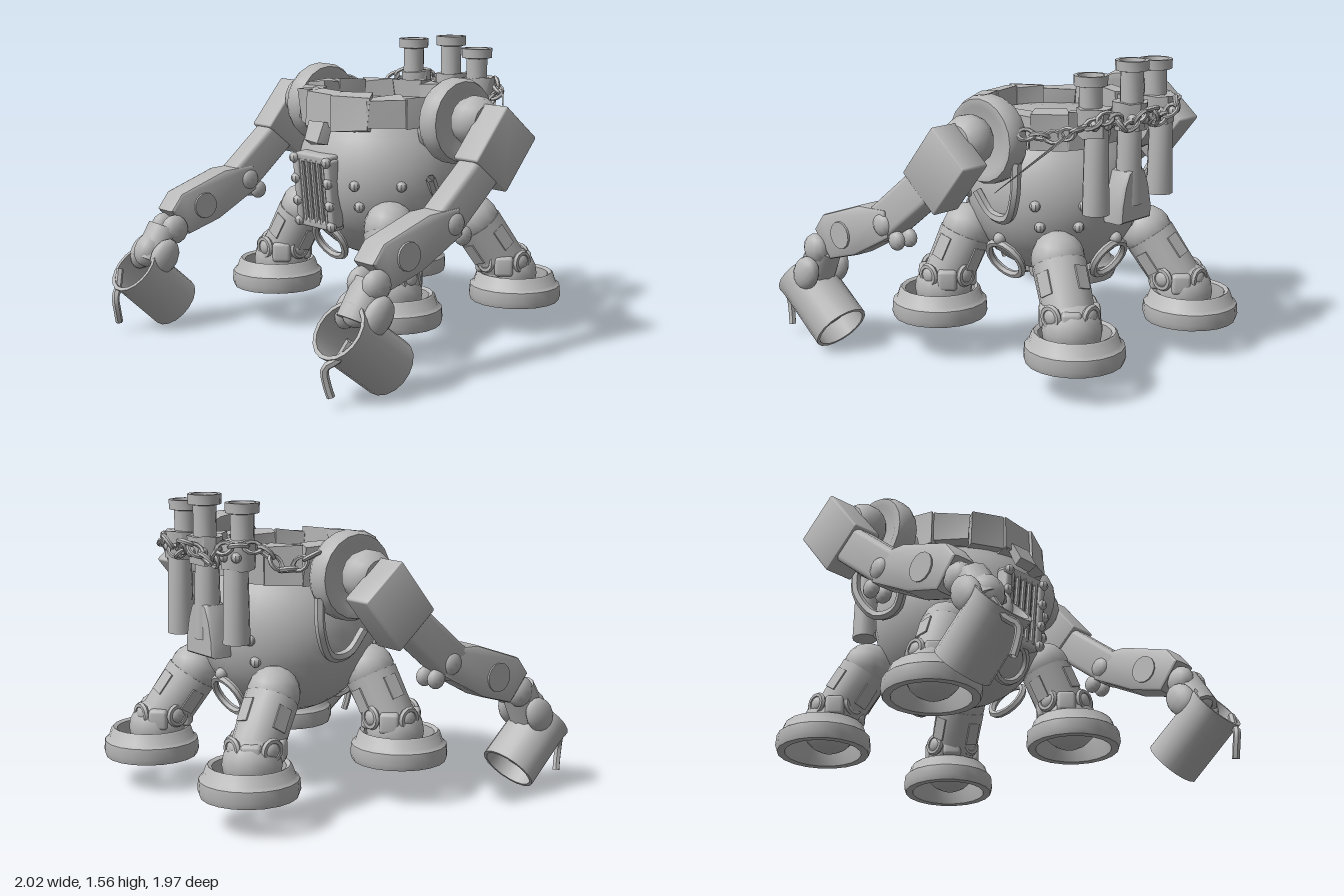
import * as THREE from 'three';
import { toCreasedNormals, mergeVertices } from 'three/addons/utils/BufferGeometryUtils.js';
import { RoundedBoxGeometry } from 'three/addons/geometries/RoundedBoxGeometry.js';

const stone = new THREE.MeshStandardMaterial({ color: 0xb8b8b8, side: THREE.DoubleSide });
stone.name = 'grey stone';

const V = (x, y, z) => new THREE.Vector3(x, y, z);
const UP = V(0, 1, 0);
let seed = 7;
const rnd = () => (seed = (seed * 16807) % 2147483647) / 2147483647;

function add(parent, name, geo, pos = [0, 0, 0], rot = [0, 0, 0], scale = [1, 1, 1]) {
  const m = new THREE.Mesh(toCreasedNormals(geo, 0.7), stone);
  m.name = name;
  m.position.set(...pos);
  m.rotation.set(...rot);
  m.scale.set(...scale);
  parent.add(m);
  return m;
}
const lathe = (pts, seg) => new THREE.LatheGeometry(pts.map(p => new THREE.Vector2(...p)), seg);
const ball = (r, w = 12, h = 8) => new THREE.SphereGeometry(r, w, h);
const cyl = (r1, r2, h, n = 12) => new THREE.CylinderGeometry(r1, r2, h, n);
const tube = (pts, r, n = 16) => new THREE.TubeGeometry(new THREE.CatmullRomCurve3(pts.map(p => V(...p))), n, r, 6);
const shape = pts => new THREE.Shape(pts.map(p => new THREE.Vector2(...p)));

// Shakes shared vertices a little for a hewn look
function hewn(geo, amount) {
  geo.deleteAttribute('normal');
  geo.deleteAttribute('uv');
  const g = mergeVertices(geo, 1e-4), p = g.attributes.position;
  for (let i = 0; i < p.count; i++)
    p.setXYZ(i, ...[p.getX(i), p.getY(i), p.getZ(i)].map(c => c + (rnd() - 0.5) * amount));
  return g;
}

// Group whose y axis runs from a to b, centred between them
function span(parent, name, a, b) {
  const g = new THREE.Group(), A = V(...a), B = V(...b);
  g.name = name;
  g.position.copy(A).lerp(B, 0.5);
  g.quaternion.setFromUnitVectors(UP, B.clone().sub(A).normalize());
  g.userData.len = A.distanceTo(B);
  parent.add(g);
  return g;
}

function buildBody(root) {
  const body = new THREE.Group();
  body.name = 'body';
  body.position.set(0.188, 0, -0.025);
  root.add(body);
  const pts = [];
  for (let i = 0; i <= 14; i++) {
    const a = -Math.PI / 2 + i * 0.157;
    pts.push([Math.max(0.46 * Math.cos(a), 0.0001), 0.877 + 0.462 * Math.sin(a)]);
  }
  pts.push([0.39, 1.2], [0.34, 1.235], [0.0001, 1.235]);
  add(body, 'pot', lathe(pts, 32));

  // Ring of rough wedge blocks round the mouth
  const n = 14;
  for (let i = 0; i < n; i++) {
    const a = i / n * Math.PI * 2;
    const g = new THREE.BoxGeometry(0.1, 0.15 + rnd() * 0.04, 0.2), p = g.attributes.position;
    for (let k = 0; k < p.count; k++) p.setZ(k, Math.sign(p.getZ(k)) * (0.388 + p.getX(k)) * 0.235);
    add(body, 'rimBlock', hewn(g, 0.028), [0.388 * Math.cos(a), 1.225 + rnd() * 0.015, 0.388 * Math.sin(a)], [0, -a, 0]);
  }
  // Hanging hoops and their knobs on three sides
  for (const a of [0, Math.PI / 2, -Math.PI / 2]) {
    const side = new THREE.Group();
    side.name = 'hoopMount';
    side.rotation.y = a;
    body.add(side);
    add(side, 'hoop', new THREE.TorusGeometry(0.106, 0.02, 6, 16), [0, 0.54, 0.37], [0.5, 0, 0]);
    add(side, 'hoopKnob', ball(0.032), [0, 0.655, 0.415]);
    for (const s of [-1, 1]) for (const [x, y, z] of [[0.23, 0.86, 0.4], [0.24, 0.75, 0.375]])
      add(side, 'rivet', ball(0.028, 8, 6), [s * x, y, z]);
  }
  // Grille
  const grille = new THREE.Group();
  grille.name = 'grille';
  grille.position.set(-0.445, 0.81, -0.01);
  grille.rotation.z = 0.1;
  body.add(grille);
  for (const s of [-1, 1]) {
    add(grille, 'grilleSide', new RoundedBoxGeometry(0.08, 0.36, 0.045, 2, 0.015), [0, 0, s * 0.125]);
    add(grille, 'grilleEdge', new RoundedBoxGeometry(0.08, 0.05, 0.27, 2, 0.015), [0.01, s * 0.175, 0]);
    for (const y of [-0.17, -0.06, 0.06, 0.17]) add(grille, 'grilleRivet', ball(0.028, 8, 6), [-0.035, y, s * 0.13]);
  }
  for (let i = -2; i <= 2; i++) add(grille, 'grilleBar', cyl(0.014, 0.014, 0.34, 8), [-0.02, 0, i * 0.044]);
  add(body, 'plate', hewn(new THREE.BoxGeometry(0.05, 0.12, 0.12), 0.02), [-0.455, 1.12, 0], [0, 0, -0.3]);
}

// Chimney pipes along the +x side
function buildPipe(root, x, z, bottom, top, flared) {
  const p = new THREE.Group();
  p.name = 'chimney';
  p.position.set(x, 0, z);
  root.add(p);
  const lowX = 0.68 - x;
  add(p, 'lowerPipe', cyl(0.06, 0.068, 1.25 - bottom), [lowX, (1.25 + bottom) / 2, 0]);
  add(p, 'collar', hewn(cyl(0.09, 0.083, 0.14, 10), 0.015), [lowX * 0.5, 1.295, 0]);
  add(p, 'chimneyTube', lathe([[0.058, 1.3], [0.058, top - 0.055], [0.083, top - 0.05], [0.085, top],
    [0.066, top], [0.055, top - 0.06], [0.048, 1.36], [0.0001, 1.36]], 12));
  for (const a of [-0.8, 0, 0.8])
    add(p, 'collarStud', ball(0.026, 8, 6), [lowX * 0.5 + 0.088 * Math.cos(a), 1.29, 0.088 * Math.sin(a)]);
  if (flared) {
    const s = shape([[-0.11, 0], [0.11, 0], [0.108, 0.07], [0.085, 0.17], [0.055, 0.24], [0, 0.26],
      [-0.055, 0.24], [-0.085, 0.17], [-0.108, 0.07]]);
    const g = new THREE.ExtrudeGeometry(s, { depth: 0.09, bevelSize: 0.01, bevelThickness: 0.015, bevelSegments: 1 });
    add(p, 'flaredFoot', g, [lowX - 0.05, 0.775, 0], [0, Math.PI / 2, 0]);
  }
}

function buildChain(root) {
  const curve = new THREE.CatmullRomCurve3([V(0.44, 1.3, -0.56), V(0.52, 1.23, -0.46), V(0.62, 1.33, -0.4), V(0.77, 1.33, -0.28),
    V(0.74, 1.25, -0.16), V(0.81, 1.34, -0.03), V(0.76, 1.26, 0.1), V(0.77, 1.33, 0.22), V(0.7, 1.29, 0.33),
    V(0.56, 1.23, 0.38), V(0.45, 1.24, 0.48)]);
  const n = 23, link = new THREE.TorusGeometry(0.034, 0.012, 5, 10);
  for (let i = 0; i <= n; i++) {
    const m = add(root, 'chainLink', link, curve.getPointAt(i / n).toArray(), [0, 0, 0], [1.2, 0.85, 1]);
    m.quaternion.setFromUnitVectors(V(1, 0, 0), curve.getTangentAt(i / n));
    m.rotateX(i % 2 ? 0.4 : 1.9);
  }
  // Thin stays
  for (const [x, y, z] of [[0.7, 1.3, 0.36], [0.62, 1.24, 0.38], [0.56, 1.18, 0.4]]) {
    const s = span(root, 'stay', [0.42, 0.98, 0.66], [x, y, z]);
    add(s, 'stayRod', cyl(0.006, 0.002, s.userData.len, 4));
  }
}

function buildLeg(root, hip, ankle, foot) {
  const leg = new THREE.Group();
  leg.name = 'leg';
  root.add(leg);
  add(leg, 'hip', ball(0.135, 14, 10), hip);
  const shin = span(leg, 'shin', ankle, hip), L = shin.userData.len;
  add(shin, 'shinTube', cyl(0.135, 0.128, L * 0.9, 14), [0, -L * 0.05, 0]);
  for (let i = 0; i < 4; i++) {
    const a = i * Math.PI / 2;
    add(shin, 'slot', new THREE.BoxGeometry(0.075, 0.12, 0.008), [0.132 * Math.sin(a), 0.01, 0.132 * Math.cos(a)], [0, a, 0]);
    // Ankle discs with pads between them
    const y = ankle[1] + 0.03, at = (r, b, dy) => [ankle[0] + r * Math.sin(b), y + dy, ankle[2] + r * Math.cos(b)];
    add(leg, 'ankleDisc', new THREE.TorusGeometry(0.048, 0.016, 6, 14), at(0.135, a, 0), [0, a, 0]);
    add(leg, 'ankleBolt', ball(0.045), at(0.13, a, 0), [0, a, 0], [1, 1, 0.6]);
    add(leg, 'anklePad', new RoundedBoxGeometry(0.1, 0.11, 0.06, 2, 0.02), at(0.12, a + 0.785, -0.02), [0, a + 0.785, 0]);
  }
  add(leg, 'ankle', ball(0.15, 14, 10), [(ankle[0] + foot[0]) / 2, foot[1] + 0.15, (ankle[2] + foot[2]) / 2]);
  add(leg, 'foot', lathe([[0.2, 0], [0.24, 0], [0.25, 0.03], [0.245, 0.085], [0.225, 0.1], [0.21, 0.145], [0.2, 0.155],
    [0.18, 0.145], [0.182, 0.09], [0.2, 0]], 20), foot);
}

// side is +1 for the front arm, -1 for the rear arm; dx shifts the hand along x
function buildArm(root, side, z, handZ, dx) {
  const arm = new THREE.Group();
  arm.name = side > 0 ? 'frontArm' : 'rearArm';
  root.add(arm);
  const q = Math.PI / 2, wz = z - side * 0.285, mz = (z + handZ) / 2;
  add(arm, 'shoulderWheel', lathe([[0.0001, -0.05], [0.15, -0.05], [0.17, -0.06], [0.205, -0.06], [0.22, -0.03], [0.22, 0.03],
    [0.205, 0.06], [0.17, 0.06], [0.15, 0.05], [0.0001, 0.05]], 20), [0.22, 1.19, wz], [q, 0, 0]);
  add(arm, 'shoulderMount', cyl(0.13, 0.13, 0.12), [0.2, 1.14, wz - side * 0.07], [q, 0, 0]);
  add(arm, 'shoulderBarrel', lathe([[0.0001, -0.09], [0.09, -0.085], [0.115, -0.06], [0.13, -0.02], [0.13, 0.02],
    [0.115, 0.06], [0.09, 0.085], [0.0001, 0.09]], 14), [0.22, 1.2, z - side * 0.15], [q, 0, 0]);
  add(arm, 'hose', tube([[0.41, 1.1, wz], [0.4, 0.93, wz], [0.3, 0.79, wz - side * 0.05], [0.17, 0.79, wz - side * 0.07],
    [0.09, 0.9, wz - side * 0.05]], 0.026));
  add(arm, 'shoulderPad', new RoundedBoxGeometry(0.33, 0.28, 0.165, 2, 0.012), [0.21, 1.085, z], [0, 0, 0.88]);

  const upper = span(arm, 'upperArm', [-0.22, 0.73, mz], [0.15, 1.03, z]);
  add(upper, 'upperArmBox', new RoundedBoxGeometry(0.19, upper.userData.len, 0.145, 2, 0.03));
  // Forearm outline, thickest at the middle
  const outline = [[-0.12, 0.84], [-0.32, 0.83], [-0.61, 0.73], [-0.68, 0.64], [-0.56, 0.5], [-0.36, 0.56], [-0.1, 0.7]];
  const fore = new THREE.ExtrudeGeometry(shape(outline),
    { depth: 0.1, bevelSize: 0.015, bevelThickness: 0.025, bevelSegments: 2, bevelOffset: -0.015 });
  add(arm, 'forearm', fore, [0, 0, mz - 0.05]);
  for (const s of [-1, 1]) {
    add(arm, 'elbowBolt', ball(0.06), [-0.15, 0.76, mz + s * 0.06], [0, 0, 0], [1, 1, 0.6]);
    add(arm, 'elbowBolt', ball(0.05), [-0.07, 0.69, mz + s * 0.04], [0, 0, 0], [1, 1, 0.7]);
    add(arm, 'forearmBolt', cyl(0.07, 0.075, 0.03, 14), [-0.46, 0.65, mz + s * 0.07], [q, 0, 0]);
    add(arm, 'wristBolt', ball(0.08), [-0.66, 0.54, handZ + s * 0.05], [0, 0, 0], [1, 1, 0.7]);
    add(arm, 'knuckle', ball(0.08), [-0.69 + dx * 0.7, 0.41, handZ + s * 0.1], [0, 0, 0.9], [1.3, 1, 0.6]);
  }
  add(arm, 'wrist', cyl(0.09, 0.1, 0.2), [-0.69 + dx * 0.5, 0.46, handZ], [0, 0, -0.5]);
  add(arm, 'knuckle', ball(0.09), [-0.72 + dx * 0.7, 0.44, handZ], [0, 0, -0.67], [0.9, 1.1, 0.9]);

  // Open barrel hand with a recessed floor
  const hand = span(arm, 'hand', [-0.54 + dx, 0.12, handZ], [-0.845 + dx * 0.5, 0.355, handZ]);
  const h = hand.userData.len / 2;
  add(hand, 'barrel', lathe([[0.13, -h], [0.147, -h], [0.145, h - 0.05], [0.15, h], [0.13, h], [0.125, 0], [0.13, -h]], 18));
  add(hand, 'barrelFloor', lathe([[0.0001, -0.02], [0.126, -0.09]], 18));
  // Hooked claw below the upper lip
  add(arm, 'claw', tube([[-0.86, 0.33, 0.1], [-0.9, 0.24, 0.06], [-0.94, 0.2, 0.02], [-0.93, 0.12, 0.02], [-0.915, 0.06, 0.03]]
    .map(p => [p[0] + dx * 0.6, p[1], handZ + p[2] * side]), 0.02, 12));
}

export function createModel() {
  const root = new THREE.Group();
  root.name = 'fourLeggedMachine';
  buildBody(root);
  buildPipe(root, 0.64, 0.225, 0.84, 1.52, false);
  buildPipe(root, 0.69, -0.025, 0.85, 1.57, true);
  buildPipe(root, 0.64, -0.275, 0.86, 1.545, false);
  buildChain(root);
  buildLeg(root, [0.53, 0.61, 0.33], [0.68, 0.36, 0.41], [0.74, 0.16, 0.44]);
  buildLeg(root, [0.53, 0.61, -0.37], [0.69, 0.36, -0.44], [0.75, 0.16, -0.47]);
  buildLeg(root, [-0.09, 0.65, 0.34], [-0.15, 0.4, 0.43], [-0.175, 0.195, 0.465]);
  buildLeg(root, [-0.07, 0.65, -0.38], [-0.12, 0.4, -0.5], [-0.14, 0.2, -0.54]);
  buildArm(root, 1, 0.785, 0.835, 0);
  buildArm(root, -1, -0.865, -0.83, -0.1);
  return root;
}
